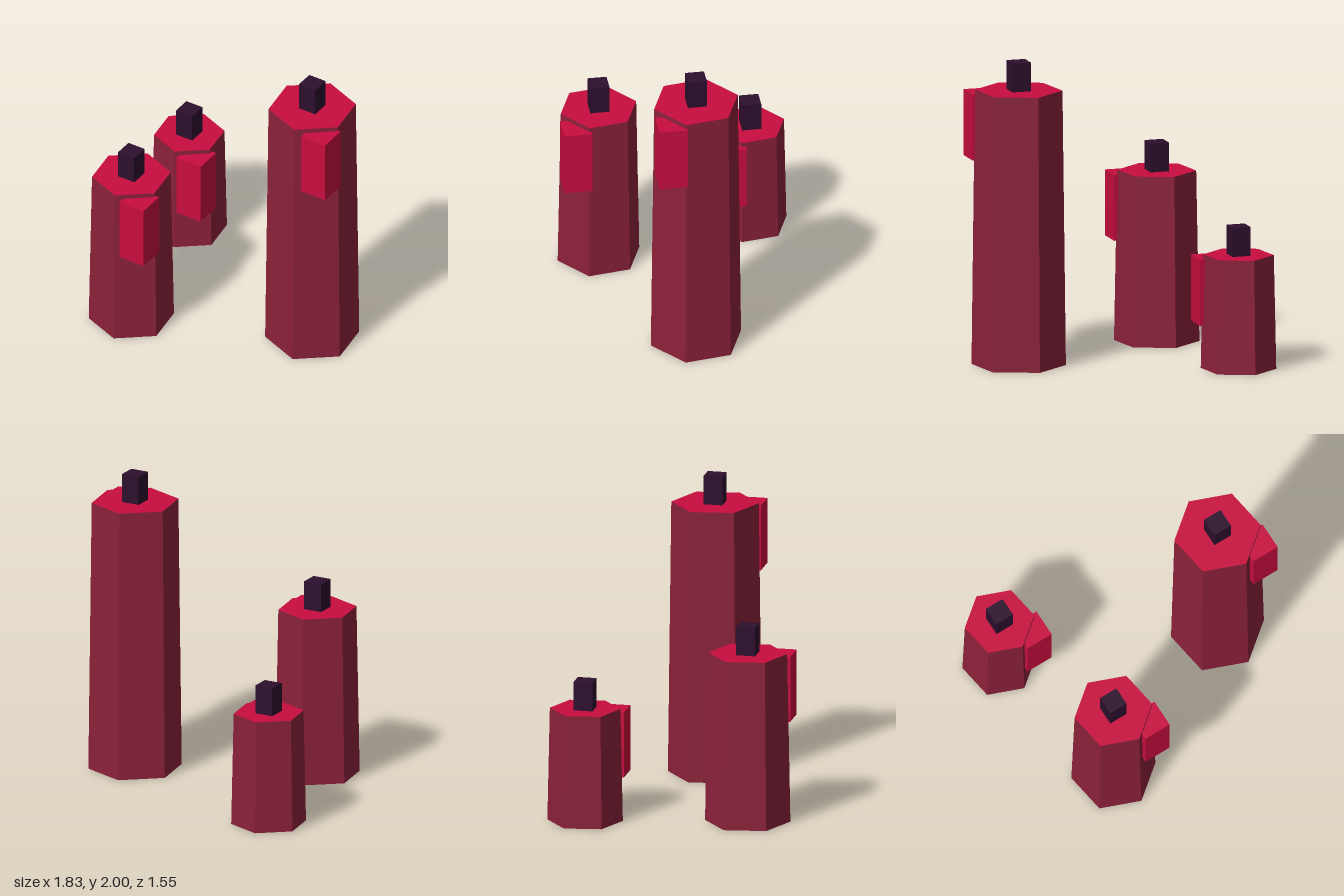
import * as THREE from 'three';

const material = (name, color) => {
  const m = new THREE.MeshStandardMaterial({ color });
  m.name = name;
  return m;
};

export function createModel() {
  const wax = material('dark red wax', 0x8c213a);
  const melted = material('melted crimson wax', 0xc80d3e);
  const char = material('charred wick', 0x2d0f2d);

  const DRIP = 0.185, DRIP_HEIGHT = 0.436;
  const WICK = 0.125, WICK_HEIGHT = 0.19;

  const add = (group, name, geometry, mat, x, y, z) => {
    const mesh = new THREE.Mesh(geometry, mat);
    mesh.name = name;
    mesh.position.set(x, y, z);
    group.add(mesh);
  };

  function makeCandle(name, x, z, height, topRadius, bottomRadius) {
    const candle = new THREE.Group();
    candle.name = name;
    candle.position.set(x, 0, z);

    // Tapered six-sided body; groups are side, top, bottom
    const body = new THREE.CylinderGeometry(topRadius, bottomRadius, height, 6, 1, false, 0.15).toNonIndexed();
    body.computeVertexNormals();
    add(candle, 'candleBody', body, [wax, melted, wax], 0, height / 2, 0);

    // Square wick standing on the top
    add(candle, 'wick', new THREE.BoxGeometry(WICK, WICK_HEIGHT, WICK), char, 0, height + WICK_HEIGHT / 2, 0);

    // Block of wax running down the front left corner
    const offset = bottomRadius * 0.62;
    add(candle, 'waxDrip', new THREE.BoxGeometry(DRIP, DRIP_HEIGHT, DRIP), melted,
      offset, height - 0.03 - DRIP_HEIGHT / 2, offset);
    return candle;
  }

  const model = new THREE.Group();
  model.name = 'candles';
  model.add(
    makeCandle('tallCandle', 0.625, 0.03, 1.812, 0.284, 0.306),
    makeCandle('mediumCandle', -0.467, 0.497, 1.125, 0.256, 0.277),
    makeCandle('shortCandle', -0.688, -0.532, 0.751, 0.229, 0.245),
  );
  return model;
}
